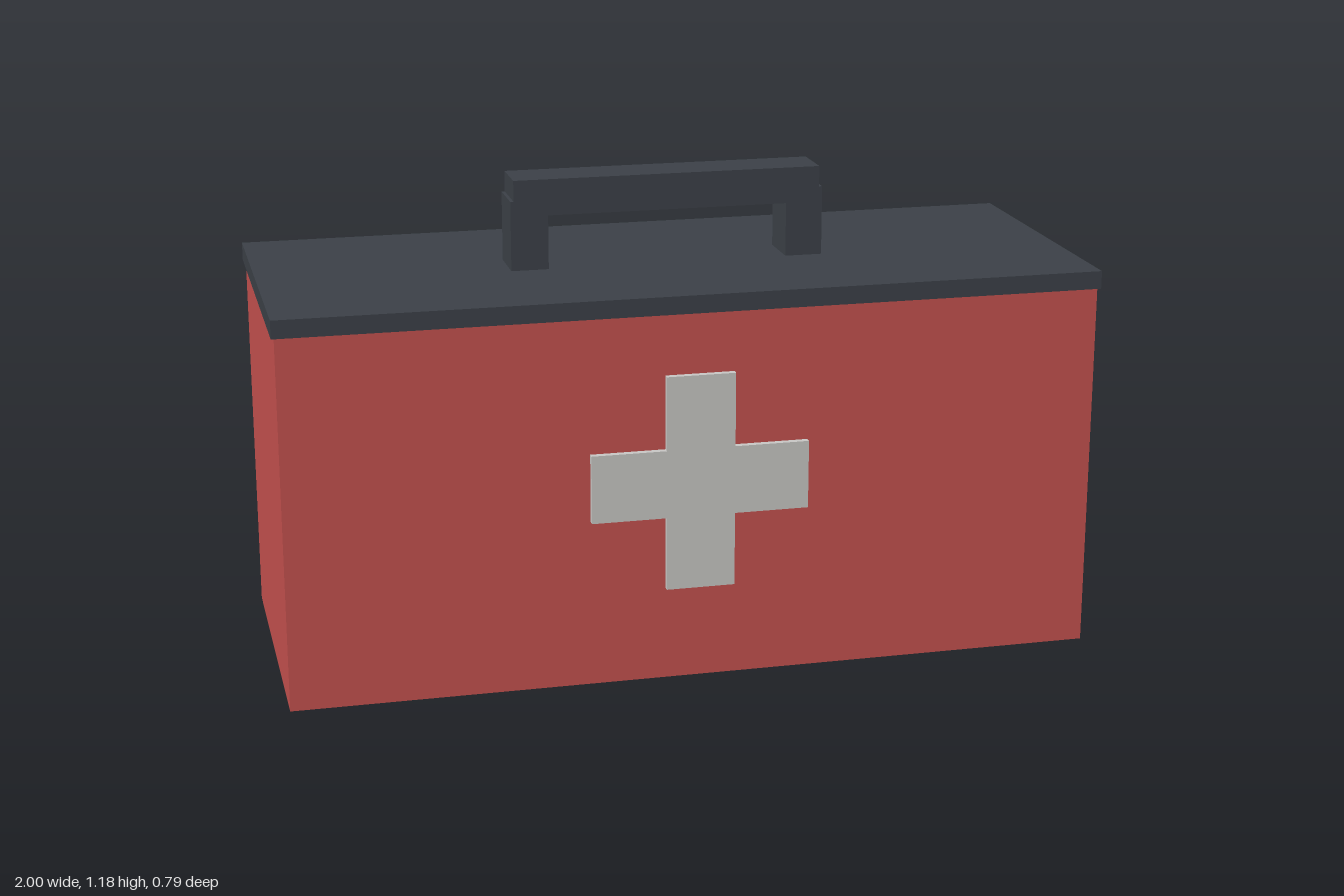
import * as THREE from 'three';

const CENTER_Z = -0.003;

function material(name, color) {
  const m = new THREE.MeshStandardMaterial({ color });
  m.name = name;
  return m;
}

// Extrudes a closed outline along z, centred on z = 0
function extrudeOutline(points, depth) {
  const shape = new THREE.Shape(points.map(([x, y]) => new THREE.Vector2(x, y)));
  const geometry = new THREE.ExtrudeGeometry(shape, { depth, bevelEnabled: false });
  return geometry.translate(0, 0, -depth / 2);
}

export function createModel() {
  const model = new THREE.Group();
  model.name = 'firstAidBox';

  const red = material('red', 0xc6524f);
  const charcoal = material('charcoal', 0x3c4148);
  const paleGrey = material('paleGrey', 0xcac9c6);

  function add(name, geometry, mat, y, z) {
    const mesh = new THREE.Mesh(geometry, mat);
    mesh.name = name;
    mesh.position.set(0, y, z);
    model.add(mesh);
  }

  // Case body and overhanging lid
  add('body', new THREE.BoxGeometry(1.986, 0.912, 0.764), red, 0.456, CENTER_Z);
  add('lid', new THREE.BoxGeometry(2, 0.044, 0.78), charcoal, 0.934, -0.004);

  // Handle: two posts stepping in slightly to the grip
  const half = [[0.39, 0.95], [0.39, 1.127], [0.382, 1.127], [0.382, 1.178]];
  const inner = [[-0.298, 0.95], [-0.298, 1.089], [0.298, 1.089], [0.298, 0.95]];
  const mirrored = half.map(([x, y]) => [-x, y]).reverse();
  add('handle', extrudeOutline([...half, ...mirrored, ...inner], 0.121), charcoal, 0, CENTER_Z);

  // Raised cross on the front, one arm turned four times
  const arm = 0.266, width = 0.084;
  const cross = [];
  for (let i = 0; i < 4; i++) {
    const c = Math.round(Math.cos(i * Math.PI / 2));
    const s = Math.round(Math.sin(i * Math.PI / 2));
    for (const [x, y] of [[arm, -width], [arm, width], [width, width]]) {
      cross.push([x * c - y * s, x * s + y * c]);
    }
  }
  add('cross', extrudeOutline(cross, 0.018), paleGrey, 0.498, 0.386);

  return model;
}
